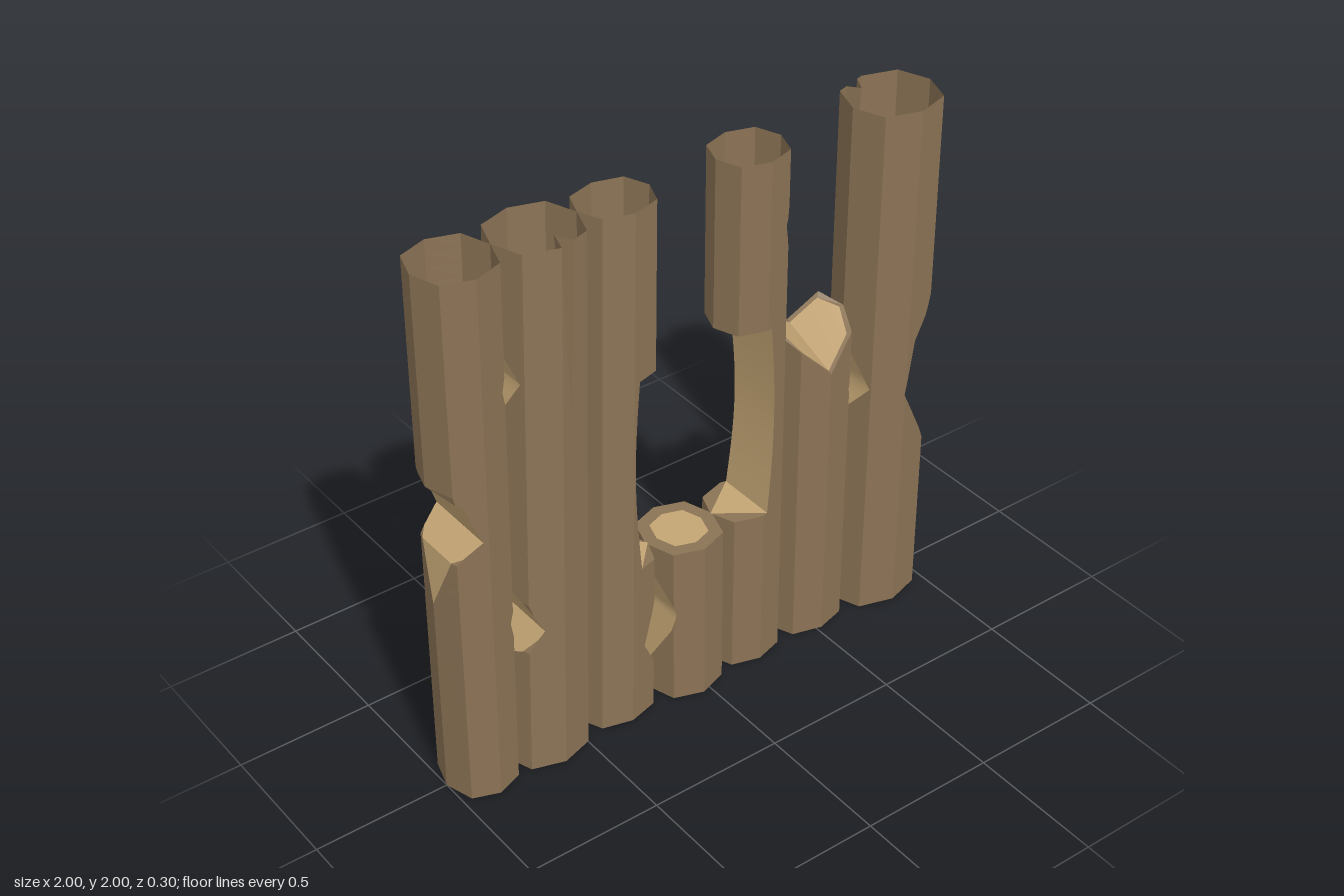
import * as THREE from 'three';
import { toCreasedNormals } from 'three/addons/utils/BufferGeometryUtils.js';

const bark = new THREE.MeshStandardMaterial({ color: 0x8b7355, side: THREE.DoubleSide });
bark.name = 'bark';
const cutWood = new THREE.MeshStandardMaterial({ color: 0xc4a574, side: THREE.DoubleSide });
cutWood.name = 'cutWood';

const { lerp, clamp } = THREE.MathUtils;
const SILL = 0.63, LINTEL = 1.4;

// Half width of the window, bowed slightly outwards at mid height
const windowHalf = y => 0.26 + 0.027 * Math.sin(Math.PI * (y - SILL) / (LINTEL - SILL));

// Half outline of an eight-sided log for u from -1 to 1
const CORNER = 0.75;
const CORNERS = [-1, -CORNER, 0, CORNER, 1];
function outline(u) {
  const t = Math.abs(u);
  return t < CORNER ? lerp(1, CORNER, t / CORNER) : CORNER * (1 - t) / (1 - CORNER);
}

// Depth taken off a side at height y by its notches: [low, deepest, high, reach]
function notchDepth(notches, y) {
  return notches.reduce((sum, [low, mid, high, reach]) =>
    sum + reach * Math.max(0, Math.min((y - low) / (mid - low), (high - y) / (high - mid))), 0);
}

// Collects quads, leaving out collapsed triangles
function makeSurface() {
  const pos = [], tri = new THREE.Triangle();
  const add = (a, b, c) => {
    if (tri.set(a, b, c).getArea() > 1e-8) pos.push(...a, ...b, ...c);
  };
  return {
    quad(a, b, c, d) { add(a, b, c); add(a, c, d); },
    mesh(name, material, crease) {
      const g = new THREE.BufferGeometry();
      g.setAttribute('position', new THREE.Float32BufferAttribute(pos, 3));
      g.computeVertexNormals();
      const m = new THREE.Mesh(crease ? toCreasedNormals(g, crease) : g, material);
      m.name = name;
      return m;
    },
  };
}

// Heights of the rings; the window's sill and lintel become doubled rings
function makeLevels(height, notches, windowSide) {
  const ys = new Set([0, height]);
  for (let y = 0.05; y < height; y += 0.05) ys.add(y);
  notches.forEach(([low, mid, high]) => [low, mid, high].forEach(y => ys.add(y)));
  const sorted = [...ys].sort((p, q) => p - q);
  const closed = y => ({ y, open: false }), open = y => ({ y, open: true });
  if (!windowSide) return sorted.map(closed);
  return [
    ...sorted.filter(y => y < SILL).map(closed), closed(SILL),
    open(SILL), ...sorted.filter(y => y > SILL && y < LINTEL - 0.01).map(open), open(LINTEL),
    closed(LINTEL - 0.02), ...sorted.filter(y => y > LINTEL + 0.01).map(closed),
  ];
}

function makeLog({ name, base, tip = base, depth, height = 2, left = [], right = [],
  windowSide, crack, top, inset }) {
  const levels = makeLevels(height, [...left, ...right], windowSide);

  // One cross-section, clipped flat where a notch or the window cuts it
  const rings = levels.map(({ y, open }, index) => {
    const l = lerp(base[0], tip[0], y / 2), r = lerp(base[1], tip[1], y / 2);
    const c = (l + r) / 2, rx = (r - l) / 2;
    let a = l + notchDepth(left, y), b = r - notchDepth(right, y);
    if (open && windowSide === 'left') a = windowHalf(y);
    if (open && windowSide === 'right') b = -windowHalf(y);

    const xs = CORNERS.map(u => c + rx * u);
    let k = 0;
    if (crack) {
      k = Math.max(0, (y - crack.from) / (2 - crack.from));
      xs.push(crack.x - 0.03 * k, crack.x, crack.x + 0.03 * k);
      xs.sort((p, q) => p - q);
    }
    const chain = side => xs.map(x0 => {
      const x = clamp(x0, a, b);
      let z = depth * outline(clamp((x - c) / rx, -1, 1));
      if (crack && crack.side === side && x0 === crack.x) z -= crack.depth * k;
      z *= side;
      return new THREE.Vector3(x, top && index === levels.length - 1 ? top(x, z) : y, z);
    });
    return { front: chain(1), back: chain(-1), c };
  });

  // Bark around the log, bare wood across the cuts
  const skin = makeSurface(), cut = makeSurface();
  for (let j = 0; j + 1 < rings.length; j++) {
    const p = rings[j], q = rings[j + 1], n = p.front.length - 1;
    for (let i = 0; i < n; i++) {
      skin.quad(p.front[i], p.front[i + 1], q.front[i + 1], q.front[i]);
      skin.quad(p.back[i + 1], p.back[i], q.back[i], q.back[i + 1]);
    }
    cut.quad(p.back[0], p.front[0], q.front[0], q.back[0]);
    cut.quad(p.front[n], p.back[n], q.back[n], q.front[n]);
  }

  // Closed top: a rim of bark around bare wood
  if (top) {
    const { front, back, c } = rings[rings.length - 1];
    const inner = p => {
      const x = c + (p.x - c) * inset, z = p.z * inset;
      return new THREE.Vector3(x, top(x, z), z);
    };
    for (let i = 0; i + 1 < front.length; i++) {
      const [f, g, d, e] = [front[i], front[i + 1], back[i], back[i + 1]];
      skin.quad(f, g, inner(g), inner(f));
      skin.quad(e, d, inner(d), inner(e));
      cut.quad(inner(f), inner(g), inner(e), inner(d));
    }
  }

  const group = new THREE.Group();
  group.name = name;
  group.add(skin.mesh(name + 'Bark', bark), cut.mesh(name + 'Cuts', cutWood, 0.7));
  return group;
}

// Splintered V-shaped top of the broken log
const brokenTop = (x, z) => 1.145 - 0.4 * z + Math.min(Math.abs(x - 0.52) * 0.9, 0.11);

export function createModel() {
  const model = new THREE.Group();
  model.name = 'logWall';
  model.add(
    makeLog({ name: 'rightEndLog', base: [-1, -0.75], tip: [-1, -0.72], depth: 0.14,
      left: [[0.78, 1.2, 1.24, 0.055], [0.98, 1.05, 1.21, 0.08]],
      right: [[0.45, 0.66, 0.76, 0.045], [1.38, 1.55, 1.67, 0.045]] }),
    makeLog({ name: 'secondLog', base: [-0.77, -0.46], tip: [-0.72, -0.41], depth: 0.145,
      left: [[0.46, 0.58, 0.76, 0.09], [1.38, 1.54, 1.67, 0.033]],
      crack: { x: -0.54, side: 1, from: 1.35, depth: 0.07 } }),
    makeLog({ name: 'windowRightLog', base: [-0.46, -0.17], tip: [-0.41, -0.14], depth: 0.115,
      windowSide: 'right', right: [[0.12, 0.29, 0.55, 0.085]] }),
    makeLog({ name: 'windowSillLog', base: [-0.17, 0.11], depth: 0.145, height: SILL,
      left: [[0.12, 0.37, 0.55, 0.045]], top: () => SILL, inset: 0.67 }),
    makeLog({ name: 'windowLeftLog', base: [0.1, 0.375], tip: [0.115, 0.375], depth: 0.12,
      windowSide: 'left', right: [[1.47, 1.73, 1.85, 0.045]] }),
    makeLog({ name: 'brokenLog', base: [0.375, 0.665], depth: 0.12, height: 1.1,
      right: [[0.82, 0.98, 1.1, 0.04]], top: brokenTop, inset: 0.88 }),
    makeLog({ name: 'leftEndLog', base: [0.66, 1], tip: [0.67, 1], depth: 0.152,
      left: [[0.82, 0.95, 1.13, 0.04]],
      right: [[0.43, 1.1, 1.33, 0.1], [0.64, 0.9, 1.17, 0.1]],
      crack: { x: 0.78, side: -1, from: 1.3, depth: 0.05 } }),
  );
  return model;
}
